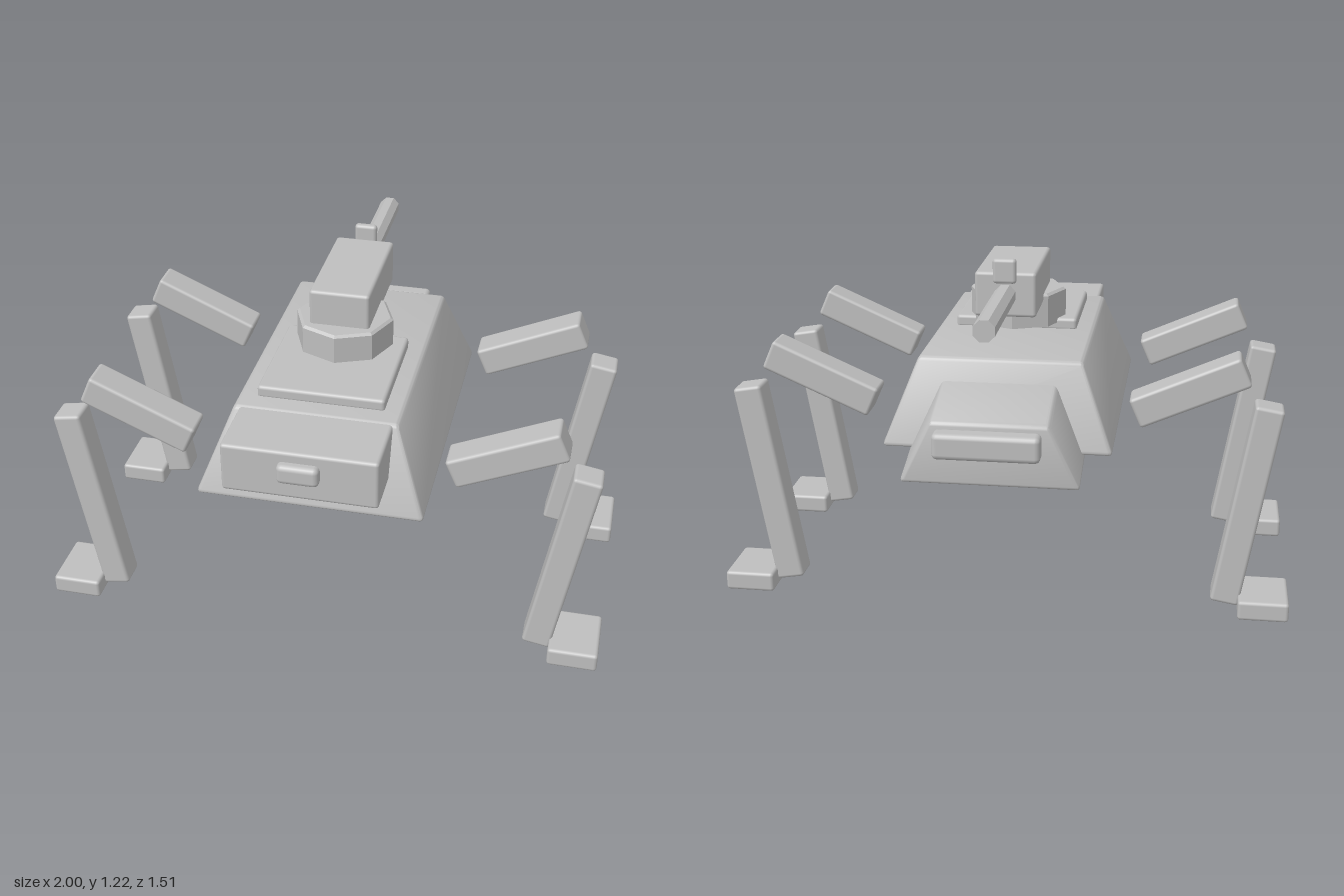
import * as THREE from 'three';
import { toCreasedNormals } from 'three/addons/utils/BufferGeometryUtils.js';
import { RoundedBoxGeometry } from 'three/addons/geometries/RoundedBoxGeometry.js';

const grey = new THREE.MeshStandardMaterial({ color: 0xbebebe });
grey.name = 'plain grey';

function add(parent, name, geometry, x = 0, y = 0, z = 0) {
  const mesh = new THREE.Mesh(geometry, grey);
  mesh.name = name;
  mesh.position.set(x, y, z);
  parent.add(mesh);
  return mesh;
}

// Softly bevelled box given by its size and centre
function box(parent, name, [w, h, d], [x, y, z], radius = 0.012) {
  return add(parent, name, new RoundedBoxGeometry(w, h, d, 2, radius), x, y, z);
}

// Bevelled box whose vertices are moved by a rule
function shapedBox(parent, name, size, centre, rule) {
  const geo = new RoundedBoxGeometry(...size, 2, 0.015);
  geo.translate(...centre);
  const p = geo.attributes.position;
  const v = new THREE.Vector3();
  for (let i = 0; i < p.count; i++) {
    rule(v.fromBufferAttribute(p, i));
    p.setXYZ(i, v.x, v.y, v.z);
  }
  return add(parent, name, toCreasedNormals(geo, 0.6));
}

export function createModel() {
  const model = new THREE.Group();
  model.name = 'walker';

  // Body: hull narrows towards the top, tail is also sheared downwards
  shapedBox(model, 'hull', [0.78, 0.295, 1.13], [0, 0.7575, 0.05], (v) => {
    const t = (v.y - 0.61) / 0.295;
    v.x *= 1 - 0.29 * t;
    v.z = 0.05 + (v.z - 0.05) * (1 - 0.19 * t) - 0.01 * t;
  });
  shapedBox(model, 'tail', [0.6, 0.218, 0.27], [0, 0.654, -0.54], (v) => {
    v.x *= 1 - 0.36 * (v.y - 0.545) / 0.218;
    v.y += 0.28 * (v.z + 0.675);
  });
  box(model, 'head', [0.52, 0.175, 0.4], [0, 0.813, 0.525]);
  box(model, 'noseLamp', [0.14, 0.07, 0.06], [0, 0.83, 0.725], 0.018);
  box(model, 'rearBumper', [0.35, 0.088, 0.07], [0, 0.705, -0.722], 0.018);

  // Turret
  const turret = new THREE.Group();
  turret.name = 'turret';
  model.add(turret);
  box(turret, 'turretPlate', [0.435, 0.045, 0.435], [0, 0.92, 0.207]);
  const ring = new THREE.CylinderGeometry(0.162, 0.172, 0.008, 8, 1);
  add(turret, 'turretRingEdge', toCreasedNormals(ring, 0.4), 0, 1.041, 0.05);
  const base = new THREE.CylinderGeometry(0.172, 0.172, 0.11, 8);
  add(turret, 'turretRing', toCreasedNormals(base, 0.4), 0, 0.982, 0.05);
  box(turret, 'gunHousing', [0.21, 0.155, 0.435], [0, 1.092, -0.072]);
  const barrel = new THREE.CylinderGeometry(0.038, 0.038, 0.475, 8);
  barrel.rotateY(Math.PI / 8).rotateX(Math.PI / 2);
  add(turret, 'barrel', toCreasedNormals(barrel, 0.4), 0, 1.092, -0.517);
  box(turret, 'sight', [0.08, 0.085, 0.03], [0, 1.178, -0.302]);

  // Four legs: left and right, front and rear
  for (const side of [1, -1]) {
    for (const [place, z] of [['front', 0.418], ['rear', -0.32]]) {
      const leg = new THREE.Group();
      leg.name = place + (side > 0 ? 'Left' : 'Right') + 'Leg';
      leg.position.z = z;
      model.add(leg);
      const upper = box(leg, 'upperLeg', [0.4, 0.108, 0.117], [side * 0.633, 0.795, 0]);
      upper.rotation.z = side * 0.415;
      const lower = box(leg, 'lowerLeg', [0.1, 0.73, 0.104], [side * 0.84, 0.391, 0]);
      lower.rotation.z = -side * 0.169;
      box(leg, 'foot', [0.175, 0.07, 0.224], [side * 0.9125, 0.035, 0]);
    }
  }
  return model;
}
